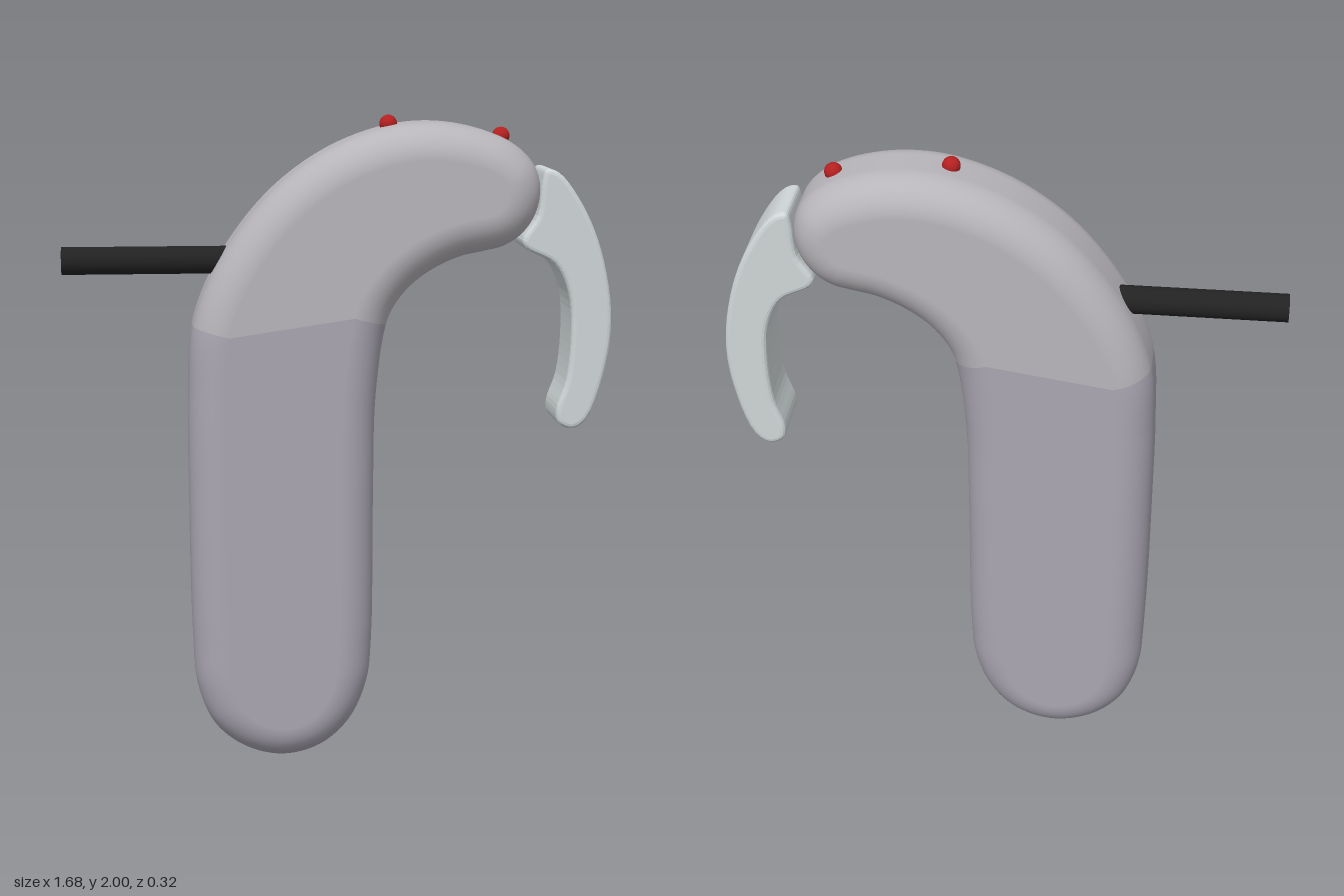
import * as THREE from 'three';

const HALF_DEPTH = 0.16, ROUND = 0.11;

// Casing outline: both sides run from the bottom tip to the nose, paired row by row
const outerSide = [
  [-0.18, 0.005], [-0.30, 0.035], [-0.395, 0.115], [-0.445, 0.24], [-0.457, 0.40], [-0.463, 0.85],
  [-0.462, 1.15], [-0.447, 1.37], [-0.37, 1.56], [-0.22, 1.76], [-0.05, 1.89], [0.12, 1.96],
  [0.26, 1.98], [0.40, 1.965], [0.52, 1.92], [0.59, 1.855], [0.612, 1.78],
];
const innerSide = [
  [-0.06, 0.035], [0.03, 0.115], [0.085, 0.24], [0.10, 0.38], [0.105, 0.85],
  [0.112, 1.15], [0.143, 1.37], [0.17, 1.43], [0.22, 1.49], [0.29, 1.54], [0.37, 1.575],
  [0.44, 1.59], [0.50, 1.605], [0.555, 1.64], [0.597, 1.70],
];
const SEAM = 7; // pair of points where the lower and upper casing meet

function closedCurve(points) {
  return new THREE.CatmullRomCurve3(points.map(([x, y]) => new THREE.Vector3(x, y, 0)), true, 'centripetal');
}

// Lofts the casing between two outline pairs, rounding the edge on both sides
function casingGeometry(from, to) {
  const curve = closedCurve([...outerSide, ...[...innerSide].reverse()]);
  const spans = outerSide.length - 1, perSpan = 6, arc = 8;
  const positions = [], normals = [], index = [];
  const section = (t, dir) => {
    const p = curve.getPoint(t), d = curve.getTangent(t);
    const ox = -d.y, oy = d.x; // outward direction
    for (let k = 0; k <= 2 * arc + 1; k++) {
      const front = k > arc;
      const a = (front ? (k - arc - 1) / arc : k / arc - 1) * Math.PI / 2 * dir;
      const sign = (front ? 1 : -1) * dir;
      const inset = ROUND * (1 - Math.cos(a));
      positions.push(p.x - ox * inset, p.y - oy * inset, sign * (HALF_DEPTH - ROUND) + ROUND * Math.sin(a));
      normals.push(ox * Math.cos(a), oy * Math.cos(a), Math.sin(a));
    }
  };
  const rows = (to - from) * perSpan, cols = 2 * (2 * arc + 2);
  for (let i = 0; i <= rows; i++) {
    const t = (from + i / perSpan) / (2 * spans);
    section(t, 1);
    section(1 - t, -1);
  }
  for (let i = 0; i < rows; i++) {
    for (let j = 0; j < cols; j++) {
      const a = i * cols + j, b = i * cols + (j + 1) % cols;
      index.push(a, b, a + cols, b, b + cols, a + cols);
    }
  }
  const g = new THREE.BufferGeometry();
  g.setAttribute('position', new THREE.Float32BufferAttribute(positions, 3));
  g.setAttribute('normal', new THREE.Float32BufferAttribute(normals, 3));
  g.setIndex(index);
  return g;
}

// Curved ear hook, a flat profile with softened edges
function hookGeometry() {
  const outline = [
    [0.612, 1.80], [0.625, 1.838], [0.665, 1.828], [0.74, 1.73], [0.80, 1.59], [0.835, 1.40], [0.822, 1.24],
    [0.765, 1.07], [0.72, 1.04], [0.675, 1.058], [0.668, 1.10], [0.697, 1.19], [0.71, 1.33],
    [0.70, 1.46], [0.655, 1.55], [0.565, 1.60], [0.555, 1.625], [0.60, 1.70],
  ];
  const shape = new THREE.Shape(closedCurve(outline).getPoints(90).slice(0, -1).map(p => new THREE.Vector2(p.x, p.y)));
  const bevel = 0.015, depth = 0.2;
  const g = new THREE.ExtrudeGeometry(shape, {
    depth: depth - 2 * bevel, bevelEnabled: true, bevelSize: bevel, bevelThickness: bevel,
    bevelOffset: -bevel, bevelSegments: 3,
  });
  return g.translate(0, 0, bevel - depth / 2);
}

export function createModel() {
  const model = new THREE.Group();
  const add = (name, geometry, color) => {
    const mesh = new THREE.Mesh(geometry, new THREE.MeshStandardMaterial({ color }));
    mesh.name = name;
    model.add(mesh);
    return mesh;
  };

  add('lowerCasing', casingGeometry(0, SEAM), 0xaaa6b2);
  add('upperCasing', casingGeometry(SEAM, outerSide.length - 1), 0xb8b5ba);
  add('earHook', hookGeometry(), 0xcfd6d7);

  // Cable leaving the back of the casing
  const cable = add('cable', new THREE.CylinderGeometry(0.042, 0.042, 0.60, 32), 0x222222);
  cable.rotation.z = Math.PI / 2;
  cable.position.set(-0.54, 1.565, 0);

  // Small indicator beads on the top edge
  for (const [x, y] of [[0.153, 1.973], [0.498, 1.935]]) {
    add('indicatorBead', new THREE.SphereGeometry(0.027, 24, 16), 0xb52020).position.set(x, y, 0);
  }
  return model;
}
